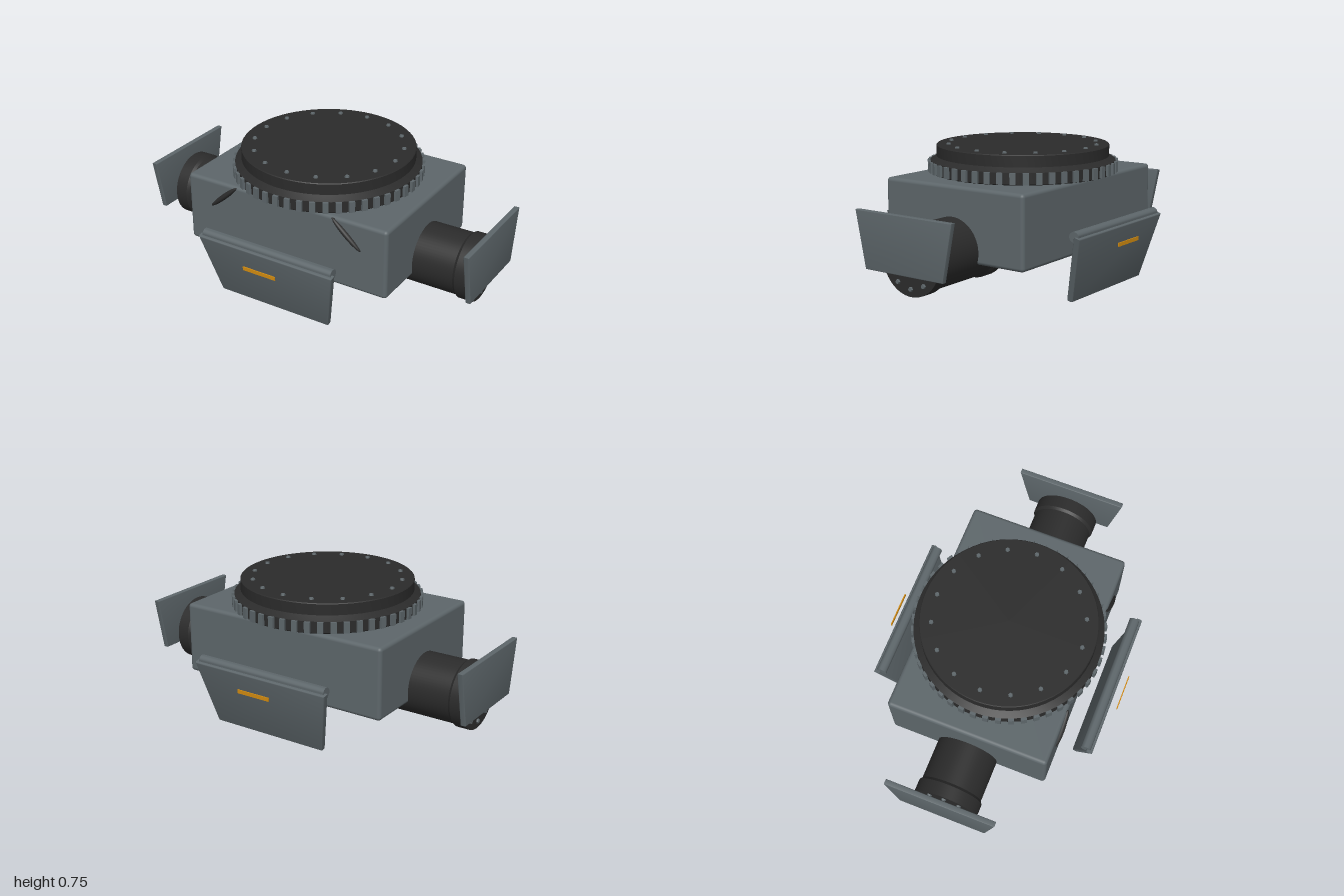
import * as THREE from 'three';
import { toCreasedNormals } from 'three/addons/utils/BufferGeometryUtils.js';
import { RoundedBoxGeometry } from 'three/addons/geometries/RoundedBoxGeometry.js';

const mat = (name, color) => {
  const m = new THREE.MeshStandardMaterial({ color });
  m.name = name;
  return m;
};

export function createModel() {
  const grey = mat('armour grey', 0x5d666a);
  const dark = mat('dark metal', 0x2b2b2b);
  const orange = mat('orange marker', 0xd08a10);
  const model = new THREE.Group();
  model.name = 'model';

  const add = (parent, name, geometry, material, x = 0, y = 0, z = 0) => {
    const mesh = new THREE.Mesh(geometry, material);
    mesh.name = name;
    mesh.position.set(x, y, z);
    parent.add(mesh);
    return mesh;
  };
  const group = (parent, name) => {
    const g = new THREE.Group();
    g.name = name;
    parent.add(g);
    return g;
  };
  const lathe = (points) => toCreasedNormals(
    new THREE.LatheGeometry(points.map(([r, y]) => new THREE.Vector2(r, y)), 64), 0.4);

  // Bevelled trapezoid plate, centred on its own origin
  const plate = (top, bottom, height, thickness, bevel) => {
    const h = height / 2 - bevel, t = top - bevel, b = bottom - bevel;
    const shape = new THREE.Shape();
    shape.moveTo(-b, -h).lineTo(b, -h).lineTo(t, h).lineTo(-t, h).closePath();
    const depth = thickness - 2 * bevel;
    const g = new THREE.ExtrudeGeometry(shape, {
      depth, bevelEnabled: true, bevelSize: bevel, bevelThickness: bevel, bevelSegments: 3,
    });
    g.translate(0, 0, -depth / 2);
    return toCreasedNormals(g, 0.6);
  };

  // Ring of bolts lying in the parent's xz plane
  const boltGeometry = new THREE.CylinderGeometry(0.011, 0.014, 0.012, 6).toNonIndexed();
  boltGeometry.computeVertexNormals();
  const boltRing = (parent, count, radius, y) => {
    for (let i = 0; i < count; i++) {
      const a = (i / count) * Math.PI * 2;
      add(parent, 'bolt', boltGeometry, grey, radius * Math.cos(a), y, radius * Math.sin(a));
    }
  };

  // Main housing
  add(model, 'body', new RoundedBoxGeometry(1.24, 0.395, 0.9, 4, 0.02), grey, 0, 0.3975, 0);

  // Turntable with toothed ring
  const turntable = group(model, 'turntable');
  add(turntable, 'turntableDisc', lathe([
    [0, 0.595], [0.505, 0.595], [0.51, 0.6], [0.51, 0.66], [0.505, 0.663],
    [0.475, 0.683], [0.475, 0.742], [0.471, 0.746], [0, 0.746],
  ]), dark);
  const toothGeometry = new THREE.BoxGeometry(0.03, 0.06, 0.031);
  for (let i = 0; i < 48; i++) {
    const a = (i / 48) * Math.PI * 2;
    const tooth = add(turntable, 'ringTooth', toothGeometry, grey,
      0.509 * Math.cos(a), 0.63, 0.509 * Math.sin(a));
    tooth.rotation.y = -a;
  }
  boltRing(turntable, 16, 0.41, 0.749);

  // Side hubs and their guard plates
  const hubGeometry = lathe([
    [0, 0.4], [0.182, 0.4], [0.182, 0.455], [0.171, 0.47], [0.171, 0.855],
    [0.182, 0.87], [0.182, 0.942], [0, 0.942],
  ]);
  const sideGeometry = plate(0.31, 0.25, 0.3, 0.03, 0.004);
  for (const [side, turn] of [['left', 0], ['right', Math.PI]]) {
    const arm = group(model, side + 'Side');
    arm.rotation.y = turn;
    const hub = group(arm, side + 'Hub');
    hub.position.y = 0.262;
    hub.rotation.z = -Math.PI / 2;
    add(hub, 'hubBarrel', hubGeometry, dark);
    boltRing(hub, 10, 0.142, 0.946);
    boltRing(hub, 10, 0.142, 0.396);
    const guard = add(arm, side + 'Guard', sideGeometry, grey, 0.985, 0.348, 0);
    guard.rotation.y = Math.PI / 2;
  }

  // Hinged skirt plates with markers, front and back
  const skirtGeometry = plate(0.415, 0.34, 0.365, 0.036, 0.008);
  const hingeGeometry = toCreasedNormals(new THREE.CylinderGeometry(0.028, 0.028, 0.8, 24), 0.6);
  for (const [end, turn] of [['front', 0], ['back', Math.PI]]) {
    const skirt = group(model, end + 'Skirt');
    skirt.rotation.y = turn;
    add(skirt, end + 'Plate', skirtGeometry, grey, 0, 0.186, 0.583).rotation.x = 0.245;
    add(skirt, end + 'Hinge', hingeGeometry, grey, 0, 0.363, 0.602).rotation.z = Math.PI / 2;
    add(skirt, end + 'Marker', new THREE.BoxGeometry(0.2, 0.02, 0.006), orange, 0, 0.28, 0.682);
  }

  // Slanted slits on the front face
  for (const s of [-1, 1]) {
    const slit = add(model, s > 0 ? 'leftSlit' : 'rightSlit',
      new THREE.SphereGeometry(1, 32, 16), dark, s * 0.383, 0.515, 0.45);
    slit.scale.set(0.113, 0.015, 0.019);
    slit.rotation.z = -s * 0.72;
  }

  return model;
}
